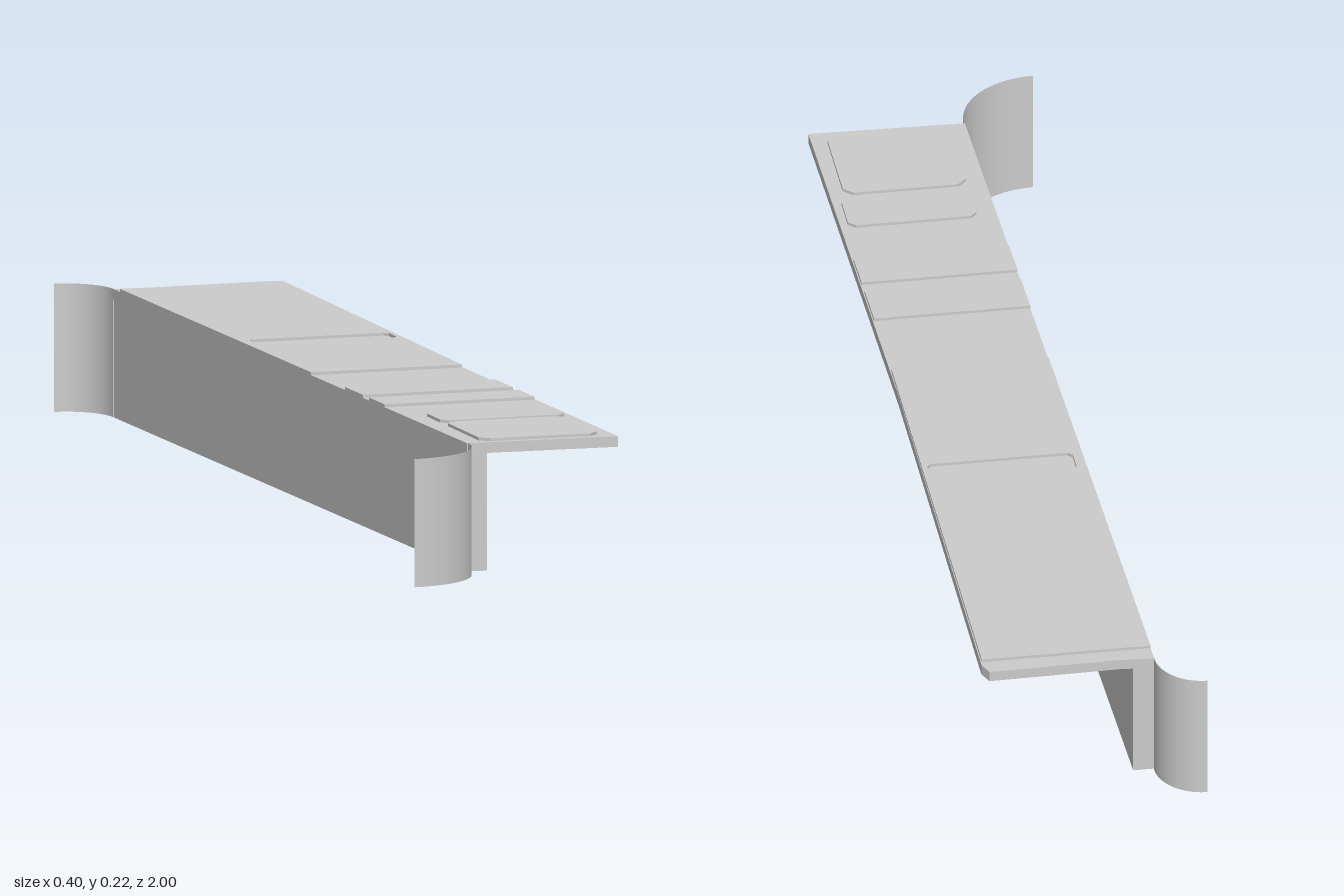
import * as THREE from 'three';

const DECK_BOTTOM = 0.2, DECK_TOP = 0.218, RELIEF_TOP = 0.223;

// Slightly tapering plan: x of the left and right edges at a given z
const leftX = (z) => -0.082 + 0.0197 * z;
const rightX = (z) => (z > 0 ? 0.187 + 0.0149 * z : 0.187 - 0.0034 * z);

export function createModel() {
  const model = new THREE.Group();
  const material = new THREE.MeshStandardMaterial({ color: 0xcccccc, flatShading: true });
  const sheetMaterial = new THREE.MeshStandardMaterial({ color: 0xcccccc, side: THREE.DoubleSide });

  const add = (name, geometry, mat = material) => {
    const mesh = new THREE.Mesh(geometry, mat);
    mesh.name = name;
    model.add(mesh);
    return mesh;
  };
  const toPlan = (points) => points.map(([x, z]) => new THREE.Vector2(x, -z));

  // Flat slab from a plan outline of [x, z] points, between two heights
  const slab = (name, points, y0, y1, hole) => {
    const shape = new THREE.Shape(toPlan(points));
    if (hole) shape.holes.push(new THREE.Path(toPlan(hole)));
    const geometry = new THREE.ExtrudeGeometry(shape, { depth: y1 - y0, bevelEnabled: false });
    geometry.rotateX(-Math.PI / 2).translate(0, y0, 0);
    return add(name, geometry);
  };

  // Four-sided outline with clipped corners
  const clipped = (x0, x1, z0, z1, c) => [
    [x0 + c, z0], [x1 - c, z0], [x1, z0 + c], [x1, z1 - c],
    [x1 - c, z1], [x0 + c, z1], [x0, z1 - c], [x0, z0 + c],
  ];

  // Deck
  slab('deck', [
    [leftX(0.865), 0.865], [0.2, 0.872], [rightX(0), 0], [0.19, -0.89],
    [0.18, -0.914], [-0.04, -0.91], [leftX(-0.914), -0.914],
  ], DECK_BOTTOM, DECK_TOP);

  // Upright wall under the left edge
  slab('wall', [
    [leftX(0.865), 0.865], [leftX(0.865) + 0.035, 0.865],
    [leftX(-0.91) + 0.035, -0.91], [leftX(-0.91), -0.91],
  ], 0, DECK_BOTTOM);

  // Raised bands across the full width of the deck
  const band = (z0, z1) => [
    [leftX(z0), z0], [rightX(z0) - 0.002, z0], [rightX(z1) - 0.002, z1], [leftX(z1), z1],
  ];
  [[0.45, 0.37], [0.34, 0.25]].forEach(([z0, z1]) =>
    slab('raisedBand', band(z0, z1), DECK_TOP, RELIEF_TOP));

  // Long raised plate with a shallow slot
  slab('raisedPlate', band(0.08, -0.88), DECK_TOP, RELIEF_TOP,
    clipped(-0.07, 0.178, -0.29, -0.235, 0.008));

  // Two low pads at the front end
  slab('frontPad', clipped(-0.037, 0.173, 0.662, 0.856, 0.016), DECK_TOP, RELIEF_TOP);
  slab('secondPad', clipped(-0.037, 0.182, 0.556, 0.648, 0.012), DECK_TOP, RELIEF_TOP);

  // Thin curled sheets at both ends of the wall
  const curl = (name, cx, cz, rx, rz, start) => {
    const geometry = new THREE.CylinderGeometry(1, 1, DECK_TOP, 32, 1, true, start, Math.PI / 2);
    geometry.scale(rx, 1, rz).translate(cx, DECK_TOP / 2, cz);
    add(name, geometry, sheetMaterial);
  };
  curl('frontCurl', -0.203, 0.86, 0.14, 0.14, 0);
  curl('backCurl', -0.177, -0.914, 0.077, 0.086, Math.PI / 2);

  return model;
}
